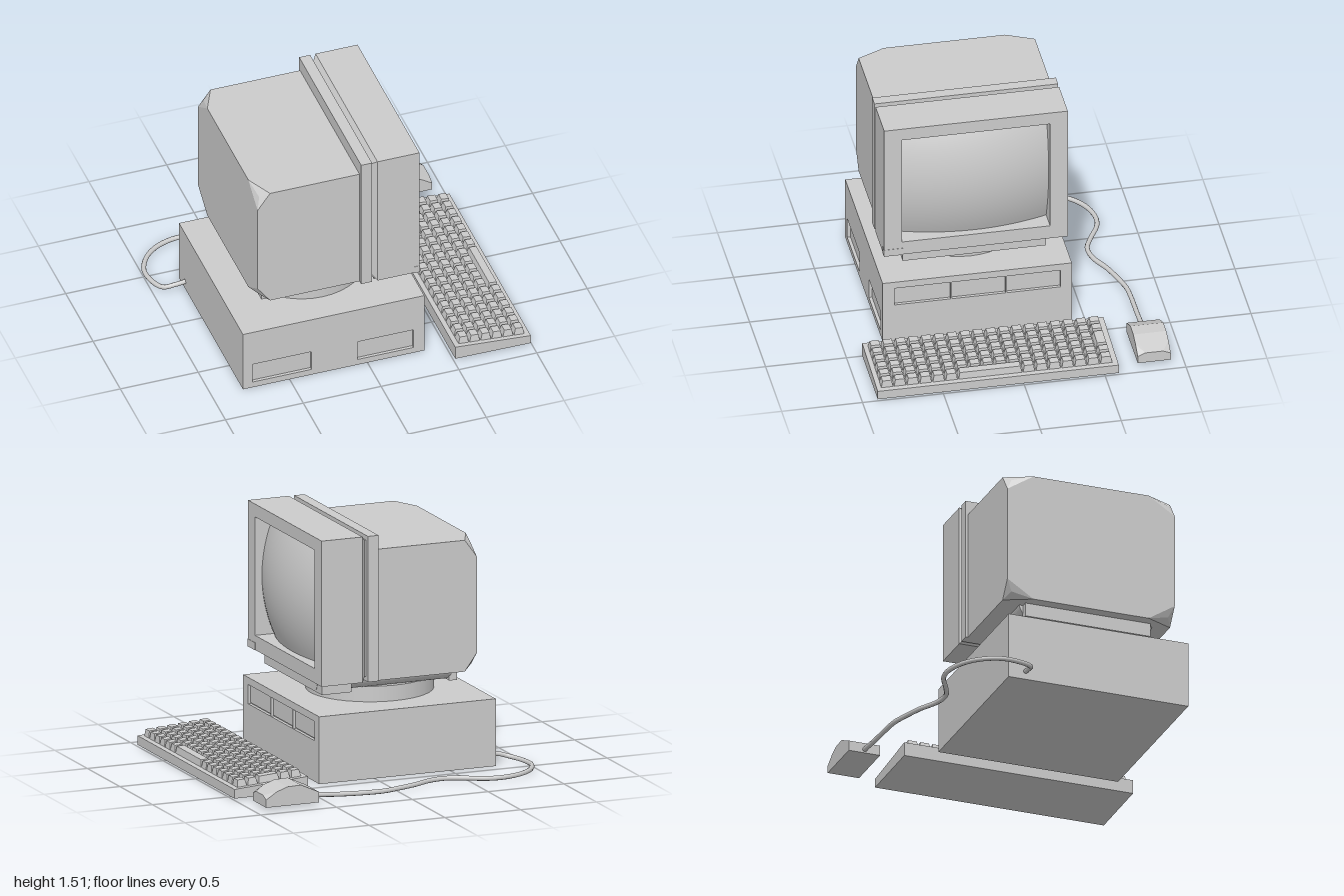
import * as THREE from 'three';
import { ConvexGeometry } from 'three/addons/geometries/ConvexGeometry.js';

const flat = new THREE.MeshStandardMaterial({ color: 0xcccccc, flatShading: true });
const smooth = new THREE.MeshStandardMaterial({ color: 0xcccccc, side: THREE.DoubleSide });

function add(parent, name, geometry, material = flat) {
  const mesh = new THREE.Mesh(geometry, material);
  mesh.name = name;
  parent.add(mesh);
  return mesh;
}

function group(parent, name) {
  const g = new THREE.Group();
  g.name = name;
  parent.add(g);
  return g;
}

// Box given by its limits on each axis
function box(parent, name, [x0, x1], [y0, y1], [z0, z1]) {
  const geo = new THREE.BoxGeometry(x1 - x0, y1 - y0, z1 - z0);
  geo.translate((x0 + x1) / 2, (y0 + y1) / 2, (z0 + z1) / 2);
  return add(parent, name, geo);
}

// Rectangular plate [x0, x1, y0, y1] with rectangular holes, extruded along +z
function plate([x0, x1, y0, y1], holes, depth) {
  const trace = (p, [a, b, c, d]) => {
    p.moveTo(a, c); p.lineTo(b, c); p.lineTo(b, d); p.lineTo(a, d); p.closePath();
    return p;
  };
  const shape = trace(new THREE.Shape(), [x0, x1, y0, y1]);
  for (const h of holes) shape.holes.push(trace(new THREE.Path(), h));
  return new THREE.ExtrudeGeometry(shape, { depth, bevelEnabled: false });
}

// Plate facing +x: its first axis runs along -z
function platePlusX(rect, holes, x0, x1) {
  return plate(rect, holes, x1 - x0).rotateY(Math.PI / 2).translate(x0, 0, 0);
}

function buildCase(root) {
  const g = group(root, 'computerCase');
  box(g, 'caseBody', [-0.8, 0.345], [0, 0.42], [-0.42, 0.73]);
  const sideHoles = [[-0.74, -0.36, 0.04, 0.175], [-0.065, 0.295, 0.04, 0.175]];
  add(g, 'caseSidePanel', plate([-0.8, 0.365, 0, 0.42], sideHoles, 0.02)).position.z = 0.73;
  // Three drive bays in the face below the screen
  const bays = [[-0.675, -0.33], [-0.322, 0.01], [0.018, 0.35]];
  const holes = bays.map(([a, b]) => [a, b, 0.255, 0.375]);
  add(g, 'caseDrivePanel', platePlusX([-0.73, 0.42, 0, 0.42], holes, 0.345, 0.365));
  for (const [a, b] of bays) {
    box(g, 'driveBayCover', [0.34, 0.352], [0.263, 0.367], [-b + 0.008, -a - 0.008]);
  }
}

function buildStand(root) {
  const g = group(root, 'monitorStand');
  const swivel = new THREE.CylinderGeometry(0.39, 0.39, 0.1, 40);
  add(g, 'swivelBase', swivel, smooth).position.set(-0.22, 0.467, 0.167);
  box(g, 'standFrontBlock', [0.09, 0.285], [0.515, 0.605], [-0.275, 0.61]);
  box(g, 'standBackLip', [-0.62, -0.57], [0.515, 0.6], [-0.24, 0.575]);
  // Rocker with rounded lower edges, running along x
  const s = new THREE.Shape();
  s.moveTo(-0.6, 0.605);
  s.quadraticCurveTo(-0.59, 0.53, -0.51, 0.515);
  s.lineTo(0.175, 0.515);
  s.quadraticCurveTo(0.255, 0.53, 0.265, 0.605);
  s.closePath();
  const rocker = new THREE.ExtrudeGeometry(s, { depth: 0.68, bevelEnabled: false, curveSegments: 10 });
  add(g, 'rocker', rocker.rotateY(Math.PI / 2).translate(-0.58, 0, 0));
  const button = new THREE.CylinderGeometry(0.037, 0.037, 0.01, 24).rotateZ(Math.PI / 2);
  add(g, 'powerButton', button, smooth).position.set(0.282, 0.562, -0.167);
}

function buildMonitor(root) {
  const g = group(root, 'monitor');
  const cy = 1.055, cz = 0.167;

  // Rear housing with faceted back corners
  const pts = [];
  for (const [y, sy] of [[0.6, 1], [1.42, -1]]) {
    for (const [z, sz] of [[-0.385, 1], [0.705, -1]]) {
      for (const [dx, dy, dz] of [[0.08, 0, 0], [0, 0.11, 0], [0, 0, 0.17], [0.022, 0.038, 0.035]]) {
        pts.push(new THREE.Vector3(-0.69 + dx, y + sy * dy, z + sz * dz));
      }
      pts.push(new THREE.Vector3(0, y, z));
    }
  }
  add(g, 'rearHousing', new ConvexGeometry(pts));

  box(g, 'housingBand', [-0.035, 0.035], [0.6, 1.51], [-0.4, 0.735]);
  box(g, 'grooveCore', [0.03, 0.06], [0.63, 1.48], [-0.37, 0.705]);

  // Bezel: chamfered back edge and a deep frame around the screen
  const chamfer = new THREE.BoxGeometry(0.025, 0.91, 1.135);
  const p = chamfer.attributes.position;
  for (let i = 0; i < p.count; i++) {
    if (p.getX(i) < 0) {
      p.setY(i, p.getY(i) - Math.sign(p.getY(i)) * 0.03);
      p.setZ(i, p.getZ(i) - Math.sign(p.getZ(i)) * 0.03);
    }
  }
  add(g, 'bezelChamfer', chamfer).position.set(0.0575, cy, cz);
  add(g, 'bezel', platePlusX([-0.735, 0.4, 0.6, 1.51], [[-0.625, 0.29, 0.69, 1.43]], 0.07, 0.34));
  box(g, 'bezelTab', [0.3, 0.342], [0.598, 0.645], [0.62, 0.737]);

  // Bulging screen glass
  const glass = new THREE.PlaneGeometry(0.915, 0.74, 20, 20);
  const q = glass.attributes.position;
  for (let i = 0; i < q.count; i++) {
    q.setZ(i, -0.36 * q.getX(i) ** 2 - 0.57 * q.getY(i) ** 2);
  }
  glass.rotateY(Math.PI / 2);
  glass.computeVertexNormals();
  add(g, 'screen', glass, smooth).position.set(0.37, 1.06, cz);
}

// Keycap narrowing towards its top, standing on y = 0
function keycap(w, d) {
  const h = 0.045, inset = 0.009;
  const geo = new THREE.BoxGeometry(w, h, d).translate(0, h / 2, 0);
  const p = geo.attributes.position;
  for (let i = 0; i < p.count; i++) {
    if (p.getY(i) > 0.01) {
      p.setX(i, p.getX(i) - Math.sign(p.getX(i)) * inset);
      p.setZ(i, p.getZ(i) - Math.sign(p.getZ(i)) * inset);
    }
  }
  return geo;
}

function buildKeyboard(root) {
  const g = group(root, 'keyboard');
  const s = new THREE.Shape();
  s.moveTo(0.51, 0.012); s.lineTo(0.995, 0.008); s.lineTo(0.995, 0.065); s.lineTo(0.51, 0.1);
  s.closePath();
  add(g, 'keyboardBase', new THREE.ExtrudeGeometry(s, { depth: 1.49, bevelEnabled: false }))
    .position.z = -0.585;

  // Keys stand on the sloping top
  const keys = group(g, 'keys');
  keys.position.set(0.51, 0.1, -0.555);
  keys.rotation.z = -Math.atan2(0.035, 0.485);
  const px = 0.0715, pz = 0.0797, gap = 0.006;
  const key = (name, col, row, cols = 1, rows = 1) => {
    add(keys, name, keycap(cols * px - gap, rows * pz - gap))
      .position.set(0.028 + (col + cols / 2) * px, -0.002, (row + rows / 2) * pz);
  };
  for (let row = 0; row < 18; row++) {
    for (let col = 0; col < 6; col++) {
      const underWide = row === 0 && (col === 2 || col === 3);
      const underSpace = col === 5 && row >= 7 && row <= 11;
      if (!underWide && !underSpace) key('key', col, row);
    }
  }
  key('wideKey', 2, 0, 2, 1);
  key('spaceBar', 5, 7, 1, 5);
}

function buildMouse(root) {
  const g = group(root, 'mouse');
  // Side outline [x, y, half width], sloping to clipped front corners
  const outline = [
    [0.58, 0.02, 0.102], [0.58, 0.085, 0.102], [0.70, 0.14, 0.102], [0.79, 0.137, 0.102],
    [0.86, 0.112, 0.102], [0.93, 0.088, 0.055], [0.93, 0.068, 0.102], [0.93, 0.02, 0.102],
  ];
  const pts = outline.flatMap(([x, y, w]) => [-w, w].map(z => new THREE.Vector3(x, y, z - 0.817)));
  add(g, 'mouseBody', new ConvexGeometry(pts));

  // Cable winding behind the case to its back face
  const path = [
    [0.66, 0.045, -0.815], [0.56, 0.042, -0.815], [0.4, 0.03, -0.815], [0.2, 0.022, -0.815],
    [0.1, 0.02, -0.808], [0, 0.02, -0.78], [-0.13, 0.02, -0.735], [-0.26, 0.02, -0.672],
    [-0.37, 0.02, -0.66], [-0.47, 0.02, -0.7], [-0.6, 0.02, -0.765], [-0.7, 0.02, -0.775],
    [-0.83, 0.02, -0.735], [-0.93, 0.02, -0.65], [-0.985, 0.02, -0.53], [-0.97, 0.022, -0.4],
    [-0.93, 0.028, -0.33], [-0.87, 0.045, -0.31], [-0.78, 0.055, -0.31],
  ].map(a => new THREE.Vector3(...a));
  const tube = new THREE.TubeGeometry(new THREE.CatmullRomCurve3(path), 90, 0.015, 8);
  add(g, 'mouseCable', tube, smooth);
}

export function createModel() {
  const root = new THREE.Group();
  root.name = 'desktopComputer';
  buildCase(root);
  buildStand(root);
  buildMonitor(root);
  buildKeyboard(root);
  buildMouse(root);
  return root;
}
